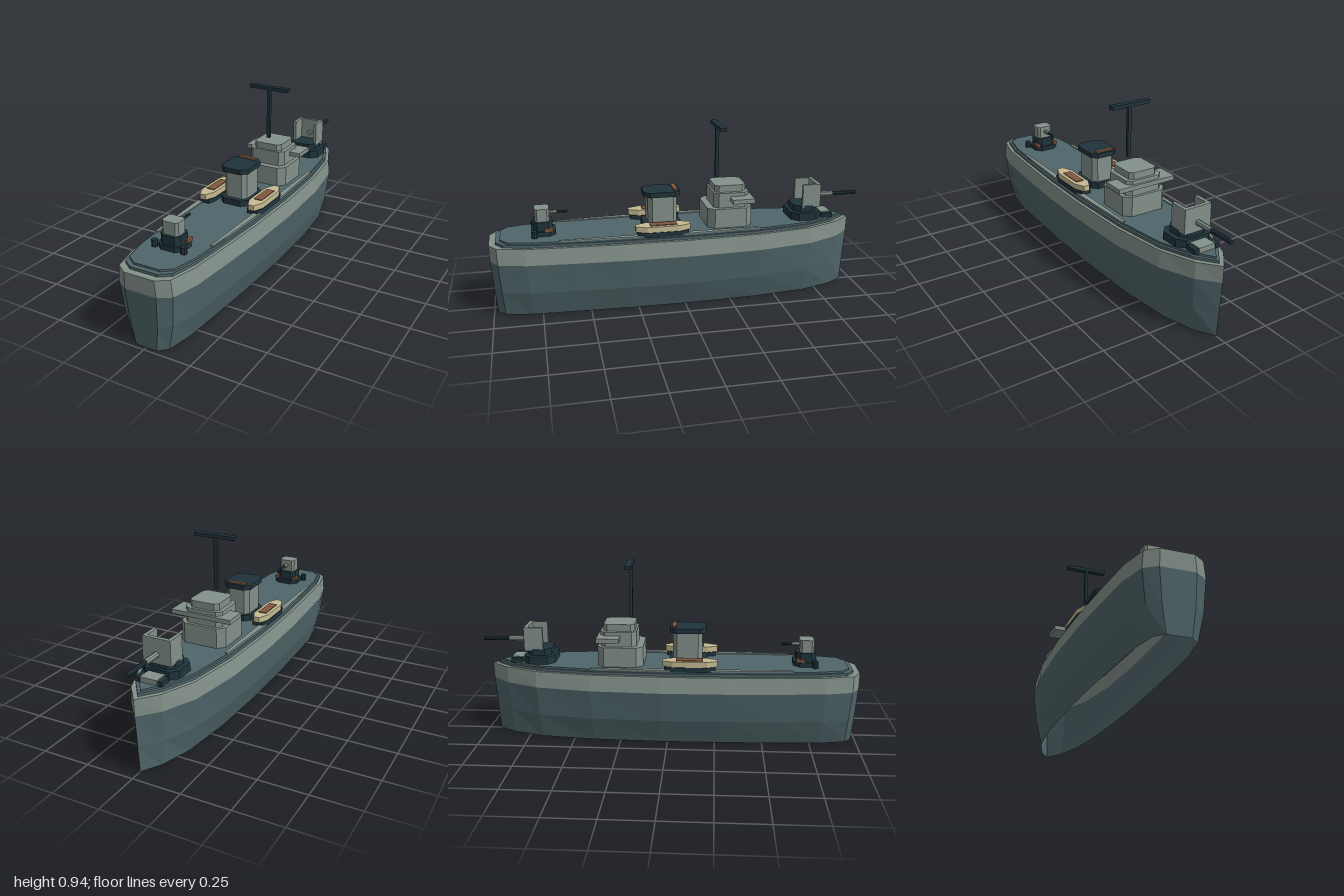
import * as THREE from 'three';

const mat = (name, color, extra = {}) => {
  const m = new THREE.MeshStandardMaterial({ color, flatShading: true, ...extra });
  m.name = name;
  return m;
};

export function createModel() {
  const hullTeal = mat('hull teal', 0x50666a, { side: THREE.DoubleSide });
  const lightGrey = mat('light grey', 0x84918b, { side: THREE.DoubleSide });
  const dark = mat('dark slate', 0x20343b);
  const cream = mat('cream', 0xc6bc93);
  const brown = mat('brown', 0x80583f);

  const ship = new THREE.Group();
  ship.name = 'warship';
  const add = (name, geo, material, x = 0, y = 0, z = 0, parent = ship) => {
    const m = new THREE.Mesh(geo, material);
    m.name = name;
    m.position.set(x, y, z);
    parent.add(m);
    return m;
  };

  // Flat plan of [x, z] points raised from y0 to y1
  const slab = (pts, y0, y1) => {
    const shape = new THREE.Shape(pts.map(([x, z]) => new THREE.Vector2(x, -z)));
    return new THREE.ExtrudeGeometry(shape, { depth: y1 - y0, bevelEnabled: false })
      .rotateX(-Math.PI / 2).translate(0, y0, 0);
  };
  // Box with cut corners: half width, z range, y range, corner cut along x and z
  const cutBox = (hx, z0, z1, y0, y1, cx = 0.025, cz = cx) => slab([
    [-hx + cx, z0], [hx - cx, z0], [hx, z0 + cz], [hx, z1 - cz],
    [hx - cx, z1], [-hx + cx, z1], [-hx, z1 - cz], [-hx, z0 + cz]], y0, y1);
  const box = (name, material, x0, x1, y0, y1, z0, z1, parent = ship) =>
    add(name, new THREE.BoxGeometry(x1 - x0, y1 - y0, z1 - z0), material,
      (x0 + x1) / 2, (y0 + y1) / 2, (z0 + z1) / 2, parent);

  // Waterline outline, bow to stern and back
  const half = [[0.085, -0.86], [0.16, -0.69], [0.205, -0.4], [0.22, -0.03], [0.215, 0.3],
    [0.2, 0.57], [0.182, 0.82], [0.147, 0.96], [0.085, 1]];
  const outline = [[0, -0.957], ...half, ...half.map(([x, z]) => [-x, z]).reverse()];
  const scaled = (sx, sz) => outline.map(([x, z]) => [x * sx, z * sz]);

  // Hull skin lofted between scaled outlines, open underneath
  const loft = (levels) => {
    const rings = levels.map(([y, sx, sz]) => scaled(sx, sz).map(([x, z]) => [x, y, z]));
    const n = outline.length, pos = [];
    for (let r = 0; r + 1 < rings.length; r++) {
      for (let i = 0; i < n; i++) {
        const j = (i + 1) % n;
        const [a, b, c, d] = [rings[r][i], rings[r][j], rings[r + 1][j], rings[r + 1][i]];
        pos.push(...a, ...c, ...b, ...a, ...d, ...c);
      }
    }
    const g = new THREE.BufferGeometry();
    g.setAttribute('position', new THREE.Float32BufferAttribute(pos, 3));
    g.computeVertexNormals();
    return g;
  };
  add('lowerHull', loft([[0, 0.68, 0.98], [0.135, 0.89, 0.989], [0.295, 1, 1]]), hullTeal);
  add('upperHull', loft([[0.295, 1, 1], [0.38, 0.945, 1.003]]), lightGrey);

  // Deck layers
  add('gunwale', slab(scaled(0.944, 1.002), 0.374, 0.38), lightGrey);
  add('deckEdge', slab(scaled(0.87, 0.968), 0.38, 0.394), hullTeal);
  add('deck', slab(scaled(0.82, 0.945), 0.394, 0.404), hullTeal);
  for (const s of [-1, 1]) {
    const strip = [[0.153, -0.4], [0.169, -0.4], [0.182, -0.03], [0.178, 0.3], [0.162, 0.65], [0.148, 0.65]];
    add('deckStrip', slab(strip.map(([x, z]) => [x * s, z]), 0.404, 0.41), lightGrey);
  }

  // Bridge
  const bridge = new THREE.Group();
  bridge.name = 'bridge';
  ship.add(bridge);
  add('bridgeBase', cutBox(0.125, -0.37, -0.13, 0.404, 0.508, 0.035), lightGrey, 0, 0, 0, bridge);
  add('bridgeRoom', cutBox(0.103, -0.355, -0.165, 0.508, 0.587, 0.025), lightGrey, 0, 0, 0, bridge);
  add('bridgeRoof', cutBox(0.081, -0.34, -0.175, 0.587, 0.623, 0.02), lightGrey, 0, 0, 0, bridge);
  box('bridgeWings', lightGrey, -0.166, 0.166, 0.544, 0.567, -0.368, -0.25, bridge);

  // Mast
  box('mast', dark, -0.009, 0.009, 0.65, 0.925, -0.209, -0.191);
  box('mastCrossbar', dark, -0.112, 0.112, 0.918, 0.936, -0.222, -0.19);

  // Funnel
  const funnel = new THREE.Group();
  funnel.name = 'funnel';
  ship.add(funnel);
  add('funnelBase', cutBox(0.08, 0.005, 0.205, 0.404, 0.436, 0.03), dark, 0, 0, 0, funnel);
  add('funnelBody', cutBox(0.065, 0.025, 0.18, 0.436, 0.577, 0.022), lightGrey, 0, 0, 0, funnel);
  add('funnelCap', cutBox(0.077, 0.008, 0.2, 0.577, 0.603, 0.03), dark, 0, 0, 0, funnel);
  box('funnelVent', brown, -0.05, 0.05, 0.6, 0.611, 0.02, 0.042, funnel);

  // Lifeboats on cradles
  for (const s of [-1, 1]) {
    const boat = new THREE.Group();
    boat.name = 'lifeboat';
    boat.position.set(0.142 * s, 0, 0.115);
    ship.add(boat);
    add('cradle', cutBox(0.043, -0.13, 0.135, 0.4, 0.426, 0.015, 0.04), dark, 0, 0, 0, boat);
    add('boatHull', cutBox(0.04, -0.14, 0.145, 0.426, 0.455, 0.024, 0.055), cream, 0, 0, 0, boat);
    box('boatCover', brown, -0.022, 0.022, 0.455, 0.459, -0.07, 0.07, boat);
  }

  const barrel = (name, material, r, y, z0, z1, parent) =>
    add(name, new THREE.CylinderGeometry(r, r, z1 - z0, 8).rotateX(Math.PI / 2),
      material, 0, y, (z0 + z1) / 2, parent);

  // Bow gun with an open-backed shield
  const bowGun = new THREE.Group();
  bowGun.name = 'bowGun';
  ship.add(bowGun);
  add('mountBase', cutBox(0.1, -0.77, -0.605, 0.404, 0.445, 0.035), dark, 0, 0, 0, bowGun);
  add('mountTop', cutBox(0.075, -0.755, -0.625, 0.445, 0.48, 0.03), dark, 0, 0, 0, bowGun);
  box('shieldFront', lightGrey, -0.075, 0.075, 0.47, 0.597, -0.765, -0.745, bowGun);
  for (const s of [-1, 1]) {
    add('shieldSide', new THREE.BoxGeometry(0.018, 0.127, 0.08), lightGrey, 0.066 * s, 0.5335, -0.705, bowGun);
    add('deckLocker', new THREE.BoxGeometry(0.022, 0.025, 0.06), dark, 0.06 * s, 0.415, -0.81, bowGun);
  }
  barrel('barrelSleeve', lightGrey, 0.015, 0.517, -0.86, -0.73, bowGun);
  barrel('barrel', dark, 0.011, 0.517, -1, -0.74, bowGun);
  box('bowHatch', lightGrey, -0.045, 0.045, 0.404, 0.43, -0.84, -0.77, bowGun);

  // Stern gun, aimed forward
  const sternGun = new THREE.Group();
  sternGun.name = 'sternGun';
  ship.add(sternGun);
  add('mountBase', cutBox(0.07, 0.66, 0.785, 0.404, 0.428, 0.03), dark, 0, 0, 0, sternGun);
  add('mountTop', cutBox(0.056, 0.675, 0.775, 0.428, 0.475, 0.022), dark, 0, 0, 0, sternGun);
  add('gunHouse', cutBox(0.045, 0.69, 0.765, 0.475, 0.542, 0.012), lightGrey, 0, 0, 0, sternGun);
  barrel('barrelSleeve', lightGrey, 0.011, 0.512, 0.65, 0.7, sternGun);
  barrel('barrel', dark, 0.007, 0.512, 0.595, 0.7, sternGun);
  for (const s of [-1, 1]) {
    add('ammunitionBox', new THREE.BoxGeometry(0.022, 0.018, 0.045), brown, 0.056 * s, 0.434, 0.695, sternGun);
    add('bollard', new THREE.CylinderGeometry(0.016, 0.016, 0.036, 8), dark, 0.08 * s, 0.422, 0.77, sternGun);
  }
  return ship;
}
